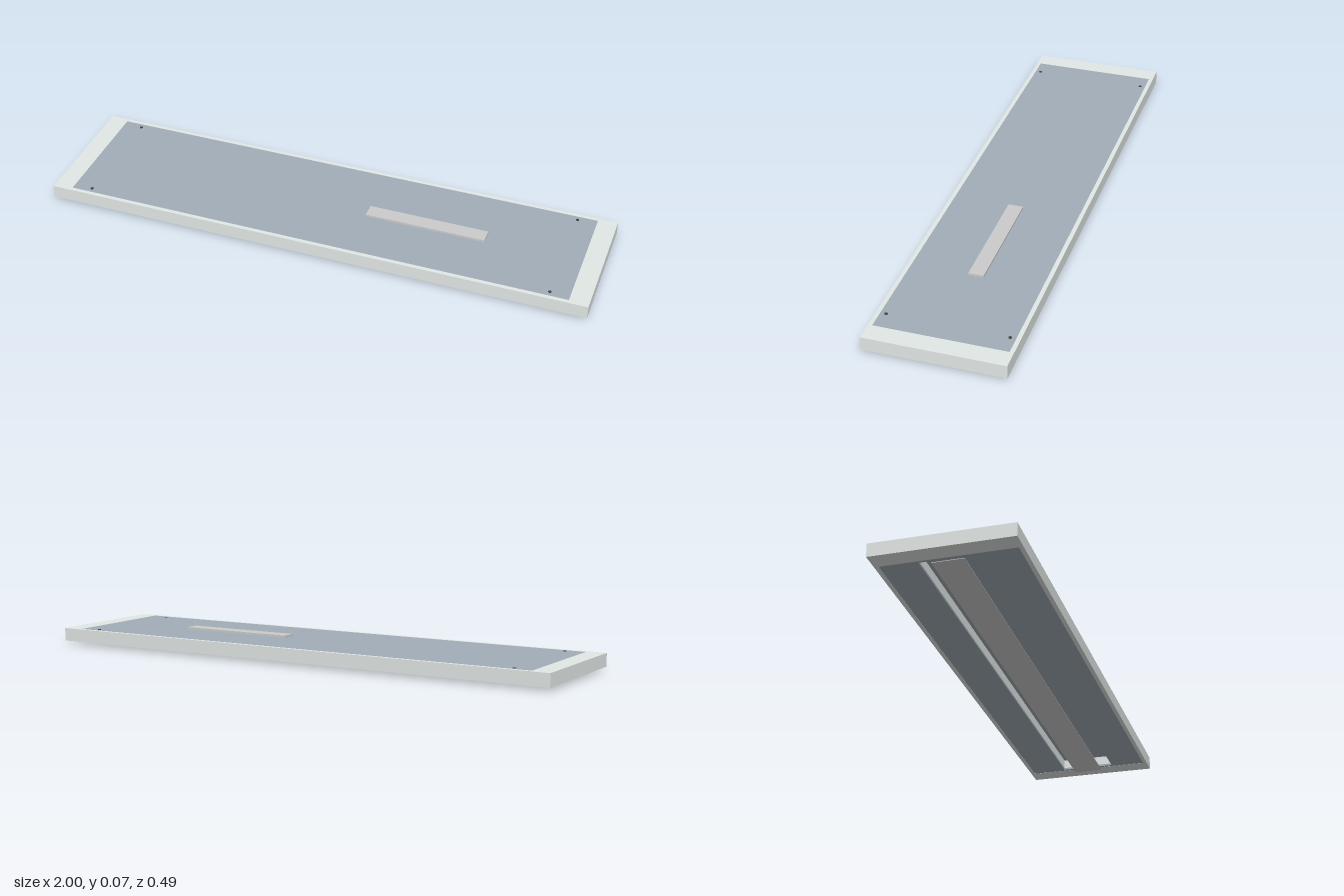
import * as THREE from 'three';

const mat = (color) => new THREE.MeshStandardMaterial({ color, roughness: 0.8 });

// Rectangular ring (outer and inner half sizes in x and z) between heights y0 and y1
function ring(ox, oz, ix, iz, y0, y1) {
  const shape = new THREE.Shape([[-ox, -oz], [ox, -oz], [ox, oz], [-ox, oz]].map((p) => new THREE.Vector2(...p)));
  shape.holes.push(new THREE.Path([[-ix, -iz], [-ix, iz], [ix, iz], [ix, -iz]].map((p) => new THREE.Vector2(...p))));
  const geo = new THREE.ExtrudeGeometry(shape, { depth: y1 - y0, bevelEnabled: false });
  return geo.rotateX(-Math.PI / 2).translate(0, y0, 0);
}

// Box given by its ranges in x, y and z
function block(x0, x1, y0, y1, z0, z1) {
  return new THREE.BoxGeometry(x1 - x0, y1 - y0, z1 - z0)
    .translate((x0 + x1) / 2, (y0 + y1) / 2, (z0 + z1) / 2);
}

export function createModel() {
  const group = new THREE.Group();
  const frameMat = mat(0xe2e8e6);
  const panelMat = mat(0xa2adb8);
  const greyMat = mat(0xcccccc);
  const screwMat = mat(0x444444);
  const add = (name, geo, material) => {
    const mesh = new THREE.Mesh(geo, material);
    mesh.name = name;
    group.add(mesh);
  };

  // Outer frame, open through the middle
  add('frame', ring(1, 0.245, 0.93, 0.23, 0.012, 0.06), frameMat);

  // Panel set into the frame, with a long recess below
  add('topPanel', block(-0.93, 0.93, 0.054, 0.0595, -0.23, 0.23), panelMat);
  add('bottomPanel', ring(0.93, 0.23, 0.92, 0.1, 0.0125, 0.02), panelMat);
  add('recessWall', ring(0.93, 0.106, 0.92, 0.1, 0.02, 0.054), frameMat);

  // Thin strip hanging under the recess
  add('lowerStrip', block(-0.93, 0.93, 0, 0.002, -0.055, 0.055), greyMat);

  // Raised bar on top
  add('topBar', block(0.14, 0.58, 0.0595, 0.068, -0.027, 0.027), greyMat);

  // Small corner screws
  for (const x of [-0.86, 0.86]) {
    for (const z of [-0.21, 0.21]) {
      add('screw', new THREE.CylinderGeometry(0.006, 0.006, 0.002, 16).translate(x, 0.06, z), screwMat);
    }
  }
  return group;
}
